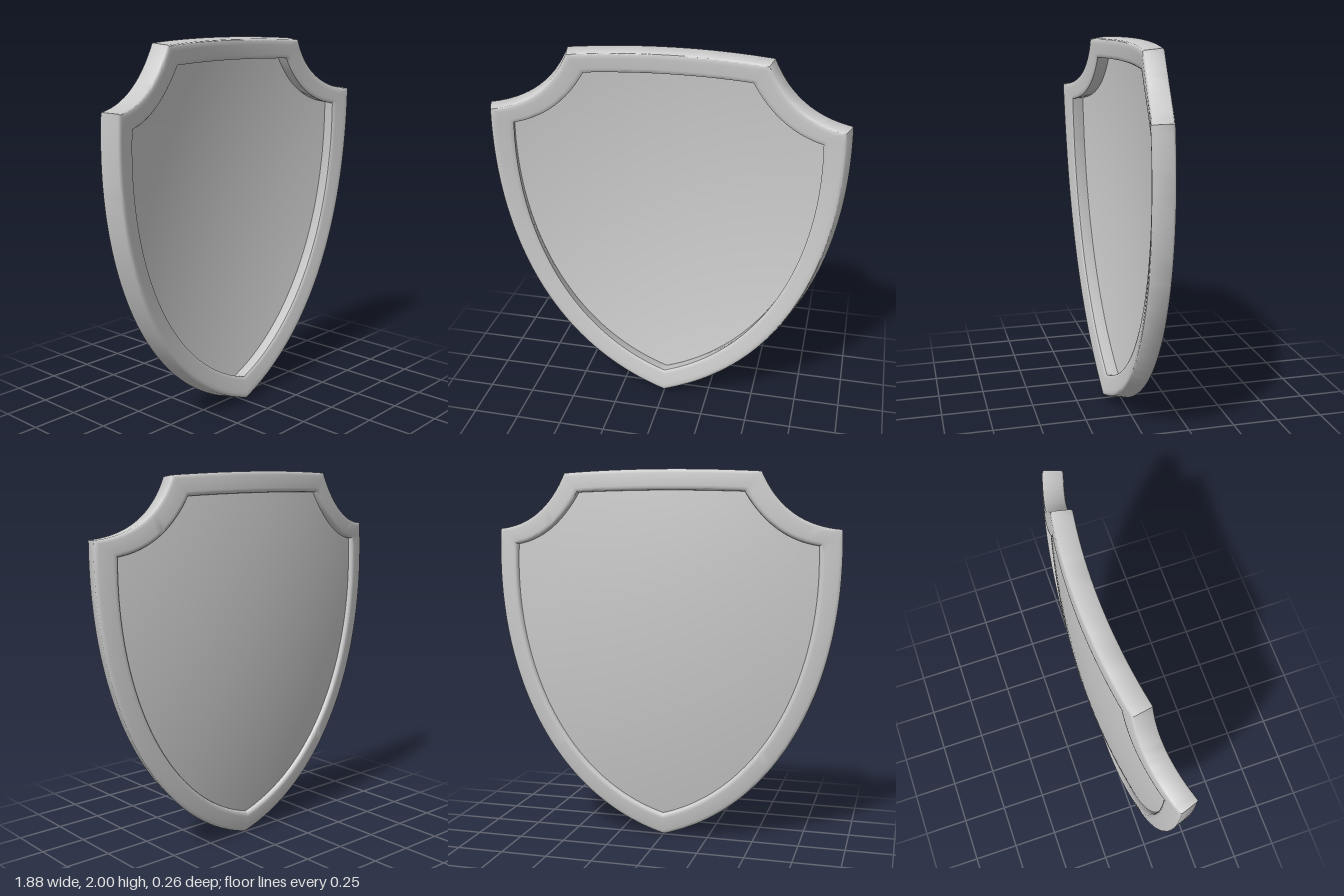
import * as THREE from 'three';
import { toCreasedNormals } from 'three/addons/utils/BufferGeometryUtils.js';

const V2 = (p) => new THREE.Vector2(p[0], p[1]);

// Closed heater-shield outline, counter-clockwise from the bottom tip
function outline({ tip, low, high, corner, notch, topCorner, top }) {
  const curves = [
    [new THREE.CubicBezierCurve(V2(tip), V2(low), V2(high), V2(corner)), 48],
    [new THREE.QuadraticBezierCurve(V2(corner), V2(notch), V2(topCorner)), 16],
    [new THREE.QuadraticBezierCurve(V2(topCorner), V2([topCorner[0] / 2, top[1]]), V2(top)), 10],
  ];
  const half = [V2(tip)];
  for (const [curve, n] of curves) half.push(...curve.getPoints(n).slice(1));
  const mirrored = half.slice(1, -1).reverse().map((p) => new THREE.Vector2(-p.x, p.y));
  return [...half, ...mirrored];
}

const outer = outline({
  tip: [0, 0.011], low: [0.62, 0.197], high: [0.965, 0.875], corner: [0.924, 1.687],
  notch: [0.64, 1.71], topCorner: [0.523, 1.98], top: [0, 1.994],
});
const inner = outline({
  tip: [0, 0.13], low: [0.532, 0.295], high: [0.852, 0.905], corner: [0.815, 1.605],
  notch: [0.585, 1.64], topCorner: [0.442, 1.88], top: [0, 1.888],
});

// Bends the flat shield into a shallow dish, slightly turned about the upright axis;
// h is the height above the middle surface, measured along its normal
function bend(x, y, h) {
  const z = -0.1 + 0.176 * x * x + 0.0825 * (y - 1.35) ** 2 - 0.024 * x;
  const n = new THREE.Vector3(-0.352 * x + 0.024, -0.165 * (y - 1.35), 1).normalize();
  return [x + n.x * h, y + n.y * h, z + n.z * h];
}

// Sweeps a section of [fraction, height] round the outline;
// place(i, fraction) gives the flat position
function sweep(name, section, place, closed) {
  const n = outer.length, m = section.length, pos = [], index = [];
  for (let i = 0; i < n; i++)
    for (const [f, h] of section) {
      const p = place(i, f);
      pos.push(...bend(p.x, p.y, h));
    }
  for (let i = 0; i < n; i++)
    for (let j = 0; j < (closed ? m : m - 1); j++) {
      const k = (j + 1) % m, r = ((i + 1) % n) * m, q = i * m;
      index.push(q + j, r + j, r + k, q + j, r + k, q + k);
    }
  const geo = new THREE.BufferGeometry();
  geo.setAttribute('position', new THREE.Float32BufferAttribute(pos, 3));
  geo.setIndex(index);
  const mesh = new THREE.Mesh(
    toCreasedNormals(geo, THREE.MathUtils.degToRad(38)),
    new THREE.MeshStandardMaterial({ color: 0xcccccc })
  );
  mesh.name = name;
  return mesh;
}

export function createModel() {
  const group = new THREE.Group();
  group.name = 'shield';

  // Raised rim: softened section, running from outer back over the front to inner back
  const rim = [
    [0, -0.042], [0, 0.046], [0.04, 0.053], [0.14, 0.057], [0.3, 0.058],
    [0.8, 0.058], [0.95, 0.057], [1, 0.053],
    [1, -0.036], [0.97, -0.045], [0.9, -0.05], [0.8, -0.052],
    [0.2, -0.052], [0.1, -0.051], [0.03, -0.047],
  ];
  group.add(sweep('rim', rim, (i, f) => outer[i].clone().lerp(inner[i], f), true));

  // Thin curved panel near the back of the rim: concentric rings about the middle
  const centre = new THREE.Vector2(0, 1.15), rings = 14, panel = [];
  for (let k = 0; k <= rings; k++) panel.push([(1.03 * k) / rings, -0.025]);
  for (let k = rings; k >= 0; k--) panel.push([(1.03 * k) / rings, -0.017]);
  group.add(sweep('panel', panel, (i, f) => centre.clone().lerp(inner[i], f), false));

  return group;
}
